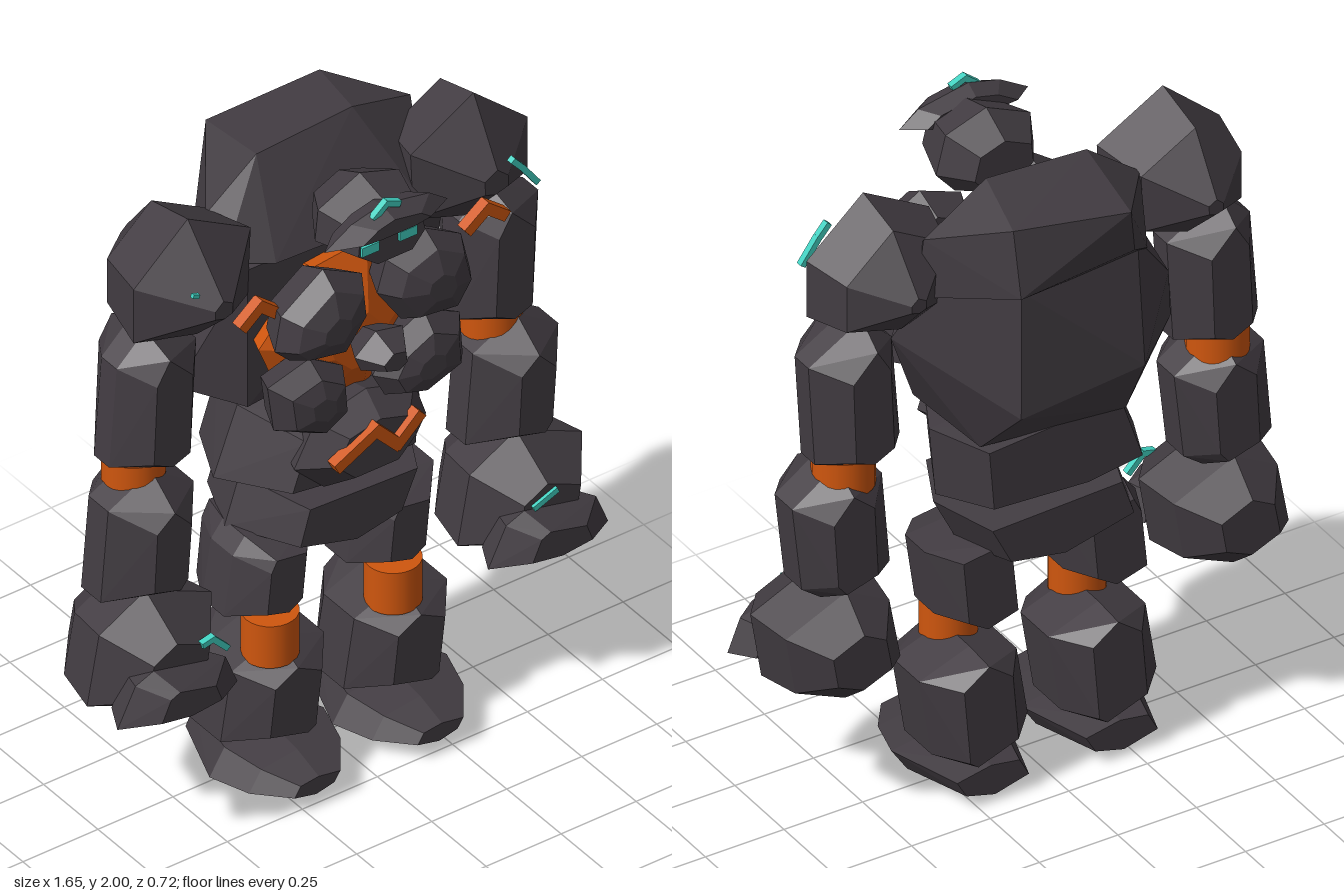
import * as THREE from 'three';
import { ConvexGeometry } from 'three/addons/geometries/ConvexGeometry.js';

function material(name, color) {
  const m = new THREE.MeshStandardMaterial({ color });
  m.name = name;
  return m;
}

export function createModel() {
  const model = new THREE.Group();
  model.name = 'rockGolem';
  const stone = material('darkStone', 0x423c42);
  const ember = material('emberOrange', 0xcf560e);
  const teal = material('glowTeal', 0x40d0c0);

  function add(name, geometry, mat) {
    const mesh = new THREE.Mesh(geometry, mat);
    mesh.name = name;
    model.add(mesh);
    return mesh;
  }

  // Faceted boulder: a front outline shrunk towards its centre at each [z, scaleX, scaleY] ring
  function rock(name, outline, rings, mat = stone, shift = 0) {
    const cx = outline.reduce((s, p) => s + p[0], 0) / outline.length;
    const cy = outline.reduce((s, p) => s + p[1], 0) / outline.length;
    const points = [];
    for (const [z, sx, sy = sx] of rings)
      for (const [x, y] of outline)
        points.push(new THREE.Vector3(cx + (x - cx) * sx + shift, cy + (y - cy) * sy, z));
    return add(name, new ConvexGeometry(points), mat);
  }

  // Right limb stone and its copy, moved by dx to the left side
  function pair(name, dx, outline, rings) {
    rock(name + 'Right', outline, rings);
    rock(name + 'Left', outline, rings, stone, dx);
  }

  const hull = (name, pts) =>
    add(name, new ConvexGeometry(pts.map(p => new THREE.Vector3(...p))), stone);

  // Angular carved mark made of short bars
  function mark(name, pts, z, width, depth, mat) {
    for (let i = 1; i < pts.length; i++) {
      const [ax, ay] = pts[i - 1], [bx, by] = pts[i];
      const bar = add(name, new THREE.BoxGeometry(Math.hypot(bx - ax, by - ay) + width * 0.7, width, depth), mat);
      bar.position.set((ax + bx) / 2, (ay + by) / 2, z);
      bar.rotation.z = Math.atan2(by - ay, bx - ax);
    }
  }

  function joint(name, x, y, z, r, h) {
    add(name, new THREE.CylinderGeometry(r, r, h, 24), ember).position.set(x, y, z);
  }

  const flip = outline => outline.map(([x, y]) => [-x, y]);

  // Torso: back boulder, upper back and glowing core
  hull('backBoulder', [
    [-0.3, 1.7, -0.05], [-0.2, 1.74, -0.28], [0.2, 1.74, -0.33], [0.38, 1.72, -0.15], [0.3, 1.7, 0.04], [-0.28, 1.7, 0.04],
    [-0.43, 1.3, -0.08], [-0.38, 1.5, -0.15], [-0.18, 1.38, -0.35], [0.22, 1.35, -0.36], [0.46, 1.54, -0.08],
    [-0.28, 1.24, 0.04], [0.34, 1.27, 0], [0.25, 1.18, -0.2], [-0.2, 1.16, -0.22]]);
  hull('upperBack', [
    [-0.33, 1.72, 0], [-0.25, 1.68, -0.25], [0.2, 1.7, -0.24], [0.42, 1.7, -0.15], [0.3, 1.68, 0.06], [-0.2, 1.7, 0.06],
    [-0.15, 1.95, -0.1], [0.17, 1.97, -0.1], [-0.13, 1.9, -0.36], [0.22, 1.94, -0.32], [0.22, 1.74, -0.36],
    [-0.16, 1.75, -0.33], [0.4, 1.88, -0.15], [-0.32, 1.82, -0.1]]);
  rock('core', [[-0.28, 1.46], [-0.1, 1.66], [0.08, 1.68], [0.25, 1.47], [0.22, 1.34], [0.07, 1.19], [-0.08, 1.2], [-0.24, 1.36]],
    [[-0.05, 0.8], [0.09, 1], [0.18, 0.35]], ember);

  // Chest plates and centre stone
  const plate = [[0.13, 0.75], [0.22, 1], [0.28, 0.75], [0.31, 0.3]];
  rock('chestPlateRight', [[-0.32, 1.55], [-0.3, 1.66], [-0.16, 1.76], [-0.03, 1.69], [-0.02, 1.59], [-0.11, 1.47], [-0.27, 1.5]], plate);
  rock('chestPlateLeft', [[0.02, 1.6], [0.05, 1.7], [0.18, 1.75], [0.3, 1.68], [0.33, 1.55], [0.27, 1.46], [0.1, 1.48]], plate);
  const rib = [[0.12, 0.75], [0.2, 1], [0.26, 0.7], [0.28, 0.3]];
  rock('ribPlateRight', [[-0.33, 1.42], [-0.19, 1.46], [-0.08, 1.39], [-0.07, 1.26], [-0.17, 1.2], [-0.31, 1.27]], rib);
  rock('ribPlateLeft', [[0.02, 1.31], [0.07, 1.4], [0.19, 1.46], [0.31, 1.4], [0.32, 1.26], [0.16, 1.2], [0.06, 1.23]], rib);
  rock('centreStone', [[-0.09, 1.46], [-0.02, 1.52], [0.07, 1.5], [0.08, 1.42], [0.02, 1.38], [-0.07, 1.41]],
    [[0.2, 0.6], [0.27, 1], [0.34, 0.45]]);

  // Waist and hips
  rock('abdomen', [[-0.25, 1.18], [-0.1, 1.21], [0.32, 1.18], [0.3, 0.96], [-0.1, 0.94], [-0.33, 0.97]],
    [[-0.22, 0.75, 0.85], [-0.05, 1], [0.17, 0.65, 0.7]]);
  rock('bellyPlate', [[-0.22, 1.08], [-0.15, 1.21], [0.02, 1.25], [0.18, 1.2], [0.22, 1.08], [0.12, 0.98], [-0.12, 0.98]],
    [[0.08, 0.85], [0.17, 1], [0.245, 0.6]]);
  rock('pelvis', [[-0.25, 0.95], [0.3, 0.93], [0.22, 0.77], [-0.01, 0.73], [-0.3, 0.8]],
    [[-0.22, 0.75], [-0.04, 1], [0.17, 0.65, 0.75]]);
  mark('bellyMark', [[-0.135, 1.11], [-0.01, 1.175], [0.06, 1.1], [0.13, 1.165]], 0.25, 0.036, 0.034, ember);

  // Head, brow, eyes and crest
  rock('head', [[-0.15, 1.82], [-0.06, 1.75], [0.1, 1.75], [0.16, 1.82], [0.13, 1.94], [0, 1.985], [-0.14, 1.92]],
    [[0.07, 0.6], [0.17, 1], [0.31, 0.72]]);
  rock('brow', [[-0.22, 1.895], [-0.13, 1.95], [-0.03, 1.975], [0.13, 1.945], [0.19, 1.9], [0.1, 1.885], [-0.11, 1.885]],
    [[0.26, 0.7], [0.31, 1], [0.36, 0.55]]);
  for (const x of [-0.078, 0.048])
    add('eye', new THREE.BoxGeometry(0.058, 0.03, 0.009), teal).position.set(x, 1.855, 0.324);
  mark('crest', [[-0.065, 1.955], [-0.025, 1.988], [0.013, 1.972]], 0.323, 0.018, 0.02, teal);

  // Shoulders with ember chevrons
  const shoulder = [[-0.48, 1.96], [-0.27, 1.84], [-0.28, 1.62], [-0.45, 1.56], [-0.66, 1.62], [-0.66, 1.8]];
  rock('shoulderRight', shoulder, [[-0.255, 0.12], [-0.13, 0.82], [0.04, 1], [0.19, 0.15]]);
  rock('shoulderLeft', flip(shoulder), [[-0.235, 0.12], [-0.12, 0.82], [0.03, 1], [0.155, 0.2]]);
  mark('shoulderChevronRight', [[-0.39, 1.64], [-0.335, 1.685], [-0.27, 1.63]], 0.165, 0.034, 0.034, ember);
  mark('shoulderChevronLeft', [[0.36, 1.64], [0.42, 1.685], [0.475, 1.64]], 0.165, 0.034, 0.034, ember);
  mark('shoulderRuneRight', [[-0.548, 1.803], [-0.535, 1.798]], 0.16, 0.012, 0.012, teal);
  mark('shoulderRuneLeft', [[0.515, 1.795], [0.545, 1.76], [0.592, 1.695]], 0.16, 0.018, 0.02, teal);

  // Arms
  pair('upperArm', 1.14, [[-0.6, 1.62], [-0.43, 1.52], [-0.45, 1.2], [-0.58, 1.17], [-0.72, 1.21], [-0.695, 1.53]],
    [[-0.16, 0.45, 0.8], [-0.06, 1], [0.01, 1], [0.11, 0.45, 0.8]]);
  pair('forearm', 1.215, [[-0.6, 1.165], [-0.46, 1.07], [-0.49, 0.8], [-0.55, 0.755], [-0.77, 0.795], [-0.745, 1.09]],
    [[-0.14, 0.45, 0.75], [-0.05, 1], [0.04, 1], [0.15, 0.4, 0.65]]);
  pair('hand', 1.235, [[-0.635, 0.79], [-0.415, 0.69], [-0.45, 0.48], [-0.63, 0.4], [-0.83, 0.485], [-0.79, 0.705]],
    [[-0.18, 0.45], [-0.08, 0.88], [0.06, 1], [0.2, 0.5]]);
  pair('fingers', 1.235, [[-0.83, 0.49], [-0.77, 0.61], [-0.71, 0.635], [-0.47, 0.58], [-0.43, 0.48], [-0.63, 0.46]],
    [[0.12, 0.8], [0.2, 1], [0.275, 0.5, 0.55]]);

  // Legs
  pair('thigh', 0.41, [[-0.29, 0.81], [-0.07, 0.79], [-0.1, 0.58], [-0.2, 0.54], [-0.36, 0.57], [-0.33, 0.76]],
    [[-0.16, 0.6, 0.95], [-0.06, 1], [0.04, 1], [0.14, 0.45, 0.7]]);
  pair('shin', 0.41, [[-0.2, 0.45], [-0.04, 0.39], [-0.08, 0.14], [-0.13, 0.12], [-0.385, 0.17], [-0.35, 0.39]],
    [[-0.185, 0.5, 0.95], [-0.08, 1], [0.06, 1], [0.16, 0.5, 0.7]]);
  pair('foot', 0.41, [[-0.2, 0.14], [-0.02, 0.11], [-0.07, 0.035], [-0.22, 0], [-0.4, 0.04], [-0.35, 0.12]],
    [[-0.185, 0.6, 0.7], [0.03, 1], [0.16, 0.8], [0.265, 0.4]]);

  // Glowing elbows and knees
  for (const x of [-0.61, 0.58]) joint('elbow', x, 1.145, -0.03, 0.088, 0.11);
  for (const x of [-0.22, 0.19]) joint('knee', x, 0.475, 0.06, 0.08, 0.14);

  // Hand runes
  mark('handRuneRight', [[-0.545, 0.655], [-0.515, 0.662], [-0.47, 0.615]], 0.2, 0.018, 0.02, teal);
  mark('handRuneLeft', [[0.558, 0.635], [0.627, 0.663]], 0.2, 0.018, 0.02, teal);

  return model;
}
